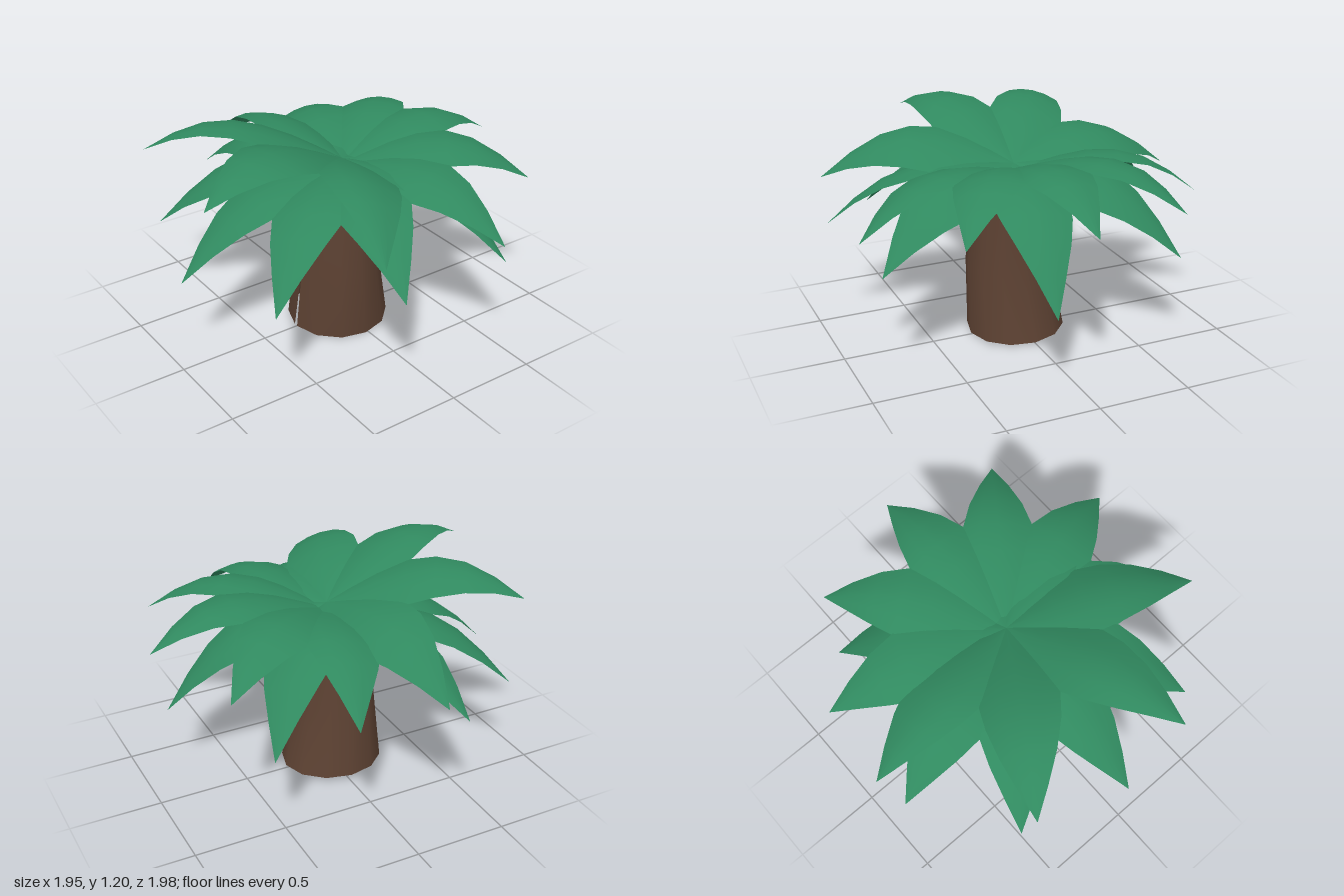
import * as THREE from 'three';

// Grid of points(u, v) joined into a smooth surface
function loft(rows, cols, point) {
  const pos = [], idx = [];
  for (let i = 0; i < rows; i++)
    for (let j = 0; j < cols; j++) pos.push(...point(i, j));
  for (let i = 0; i < rows - 1; i++)
    for (let j = 0; j < cols - 1; j++) {
      const a = i * cols + j, b = a + cols;
      idx.push(a, a + 1, b, b, a + 1, b + 1);
    }
  const g = new THREE.BufferGeometry();
  g.setAttribute('position', new THREE.Float32BufferAttribute(pos, 3));
  g.setIndex(idx);
  g.computeVertexNormals();
  return g;
}

export function createModel() {
  const group = new THREE.Group();
  const green = new THREE.MeshStandardMaterial({ color: 0x30895f, side: THREE.DoubleSide });
  green.name = 'leafGreen';
  const brown = new THREE.MeshStandardMaterial({ color: 0x5c4132, side: THREE.DoubleSide });
  brown.name = 'barkBrown';

  // Trunk: open leaning tube with a split seam at the front
  // [y, centre x, centre z, radius x, radius z, seam half-gap angle]
  const rings = [
    [0.93, 0.035, 0.035, 0.185, 0.2, 0],
    [0.8, 0.035, 0.04, 0.2, 0.205, 0],
    [0.4, 0.035, 0.045, 0.238, 0.228, 0.005],
    [0.02, 0.005, 0.02, 0.268, 0.28, 0.04],
  ];
  const sides = 12;
  const trunk = new THREE.Mesh(loft(rings.length, sides + 1, (i, j) => {
    const [y, cx, cz, rx, rz, gap] = rings[i];
    const a = gap + (j / sides) * (Math.PI * 2 - 2 * gap);
    const x = cx + rx * Math.sin(a);
    return [x, i === 3 ? y - 0.045 * x : y, cz + rz * Math.cos(a)];
  }), brown);
  trunk.name = 'trunk';
  // keep the seam's outward facing order
  const ix = trunk.geometry.index;
  for (let k = 0; k < ix.count; k += 3) {
    const b = ix.getX(k + 1);
    ix.setX(k + 1, ix.getX(k + 2));
    ix.setX(k + 2, b);
  }
  trunk.geometry.computeVertexNormals();
  group.add(trunk);

  // Leaf stations: [distance along, height, half width]
  const stations = [
    [0, 0.94, 0.03], [0.12, 0.965, 0.11], [0.25, 0.99, 0.175], [0.4, 1.005, 0.205],
    [0.55, 0.995, 0.185], [0.7, 0.945, 0.14], [0.85, 0.85, 0.075], [1, 0.72, 0.001],
  ];
  const centreX = 0.02;
  function addLeaf(name, tipX, tipZ, lift, tilt) {
    const dx = tipX - centreX, len = Math.hypot(dx, tipZ);
    const ux = dx / len, uz = tipZ / len;
    const geo = loft(stations.length, 5, (i, j) => {
      const [t, h, w] = stations[i], s = j / 2 - 1;
      const x = centreX + ux * t * len + uz * s * w;
      const z = uz * t * len - ux * s * w;
      return [x, h + lift + tilt * z - 0.22 * w * s * s, z];
    });
    // loft order faces downward here, so turn it up
    geo.index.array.reverse();
    geo.computeVertexNormals();
    if (geo.attributes.normal.getY(12) < 0) {
      geo.index.array.reverse();
      geo.computeVertexNormals();
    }
    const leaf = new THREE.Mesh(geo, green);
    leaf.name = name;
    group.add(leaf);
  }

  // Ring of ten leaves, raised at the back
  for (let k = 0; k < 10; k++) {
    const a = (k * Math.PI) / 5;
    addLeaf('lowerLeaf', centreX + Math.sin(a) * 1.0, Math.cos(a) * 0.985, 0, -0.18);
  }
  // Seven leaves raised at the front
  const tips = [
    [0.17, -0.87], [0.89, -0.4], [0.96, 0.42], [0.32, 0.99],
    [-0.54, 0.87], [-0.98, 0.15], [-0.66, -0.62],
  ];
  for (const [x, z] of tips) addLeaf('upperLeaf', x, z, 0.03, 0.333);

  return group;
}
